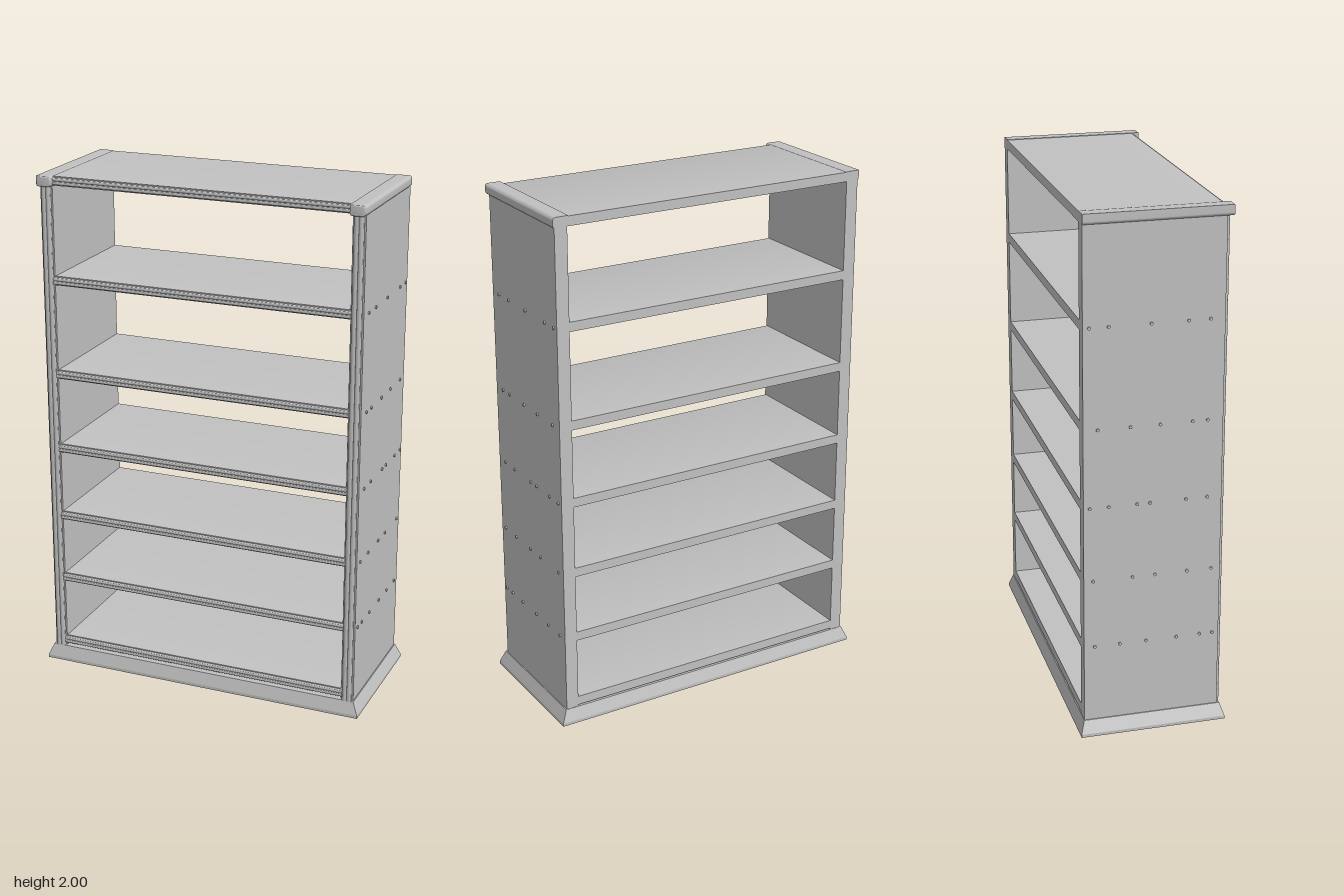
import * as THREE from 'three';
import { toCreasedNormals } from 'three/addons/utils/BufferGeometryUtils.js';

const BACK = -0.263;

// Board of given thickness, reeded along its front edge, running along x.
function reededBoard(length, thickness, front) {
  const h = thickness / 2, fillet = thickness * 0.12, bead = (h - fillet) / 2;
  const s = new THREE.Shape();
  s.moveTo(BACK, -h);
  s.lineTo(front - 0.012, -h);
  s.lineTo(front - 0.012, -h + fillet);
  s.lineTo(front - 0.006, -h + fillet);
  for (const y of [-bead, bead]) {
    s.absellipse(front - 0.006, y, 0.006, bead, -Math.PI / 2, Math.PI / 2, false, 0);
  }
  s.lineTo(front - 0.012, h - fillet);
  s.lineTo(front - 0.012, h);
  s.lineTo(BACK, h);
  const g = new THREE.ExtrudeGeometry(s, { depth: length, bevelEnabled: false, curveSegments: 8 });
  g.translate(0, 0, -length / 2);
  g.rotateY(-Math.PI / 2);
  return toCreasedNormals(g, 0.6);
}

// Rounded moulding that caps a side panel, running along z.
function capGeometry() {
  const w = 0.03, r = 0.012, y0 = 1.96, y1 = 2.0;
  const s = new THREE.Shape();
  s.moveTo(-w + r, y0);
  s.lineTo(w - r, y0);
  s.quadraticCurveTo(w, y0, w, y0 + r);
  s.lineTo(w, y1 - r);
  s.quadraticCurveTo(w, y1, w - r, y1);
  s.lineTo(-w, y1);
  s.lineTo(-w, y0 + r);
  s.quadraticCurveTo(-w, y0, -w + r, y0);
  const g = new THREE.ExtrudeGeometry(s, { depth: 0.275 - BACK, bevelEnabled: false, curveSegments: 6 });
  g.translate(0, 0, BACK);
  // Round the front end by drawing its outline in over a short nose
  const nose = new THREE.ExtrudeGeometry(s, {
    depth: 0.001, bevelEnabled: true, bevelThickness: 0.005, bevelSize: 0.005,
    bevelOffset: -0.005, bevelSegments: 3, curveSegments: 6,
  });
  nose.translate(0, 0, 0.274);
  return [toCreasedNormals(g, 0.7), toCreasedNormals(nose, 0.7)];
}

// Plinth with edges sloping in toward the top.
function plinthGeometry() {
  const g = new THREE.BoxGeometry(1.33, 0.06, 0.56, 1, 2, 1);
  const p = g.attributes.position;
  for (let i = 0; i < p.count; i++) {
    const y = p.getY(i);
    if (y > 0.02) p.setXYZ(i, p.getX(i) * 0.968, y, p.getZ(i) * 0.945);
    else if (y > -0.02) p.setY(i, -0.018);
  }
  g.translate(0, 0.03, 0);
  return toCreasedNormals(g, 0.1);
}

export function createModel() {
  const model = new THREE.Group();
  model.name = 'bookcase';
  const grey = new THREE.MeshStandardMaterial({ color: 0xc0c0c0 });
  grey.name = 'light grey';

  const add = (name, geometry, parent = model) => {
    const mesh = new THREE.Mesh(geometry, grey);
    mesh.name = name;
    parent.add(mesh);
    return mesh;
  };

  add('plinth', plinthGeometry());

  // Shelves, from the bottom up, and the top board
  const shelfGeometry = reededBoard(1.19, 0.036, 0.262);
  const shelfHeights = [0.084, 0.363, 0.632, 0.917, 1.222, 1.596];
  shelfHeights.forEach((y, i) => {
    add(`shelf${i + 1}`, shelfGeometry).position.y = y;
  });
  add('topBoard', shelfGeometry).position.y = 1.98;

  // Dowel ends: height and depths along each side panel
  const dowelRows = [
    [1.595, [0.2, 0.12, -0.016, -0.17, -0.24]],
    [1.217, [0.196, 0.14, 0.02, -0.09, -0.21]],
    [0.918, [0.2, 0.12, -0.016, -0.064, -0.17, -0.24]],
    [0.63, [0.22, 0.127, 0.005, -0.08, -0.228]],
    [0.363, [0.23, 0.18, 0.09, -0.027, -0.127, -0.223]],
  ];
  const sideGeometry = reededBoard(1.91, 0.05, 0.266).rotateZ(-Math.PI / 2);
  const dowelGeometry = new THREE.CylinderGeometry(0.006, 0.006, 0.008, 10).rotateZ(Math.PI / 2);
  const capParts = capGeometry();

  // Side panels with caps and dowels
  for (const [label, sign] of [['left', 1], ['right', -1]]) {
    const side = new THREE.Group();
    side.name = `${label}Side`;
    model.add(side);
    add(`${label}Panel`, sideGeometry, side).position.set(sign * 0.615, 1.01, 0);
    const cap = new THREE.Group();
    cap.name = `${label}Cap`;
    cap.position.x = sign * 0.615;
    side.add(cap);
    capParts.forEach((g, i) => add(i ? 'capNose' : 'capRail', g, cap));
    for (const [y, depths] of dowelRows) {
      for (const z of depths) add('dowel', dowelGeometry, side).position.set(sign * 0.641, y, z);
    }
  }
  return model;
}
